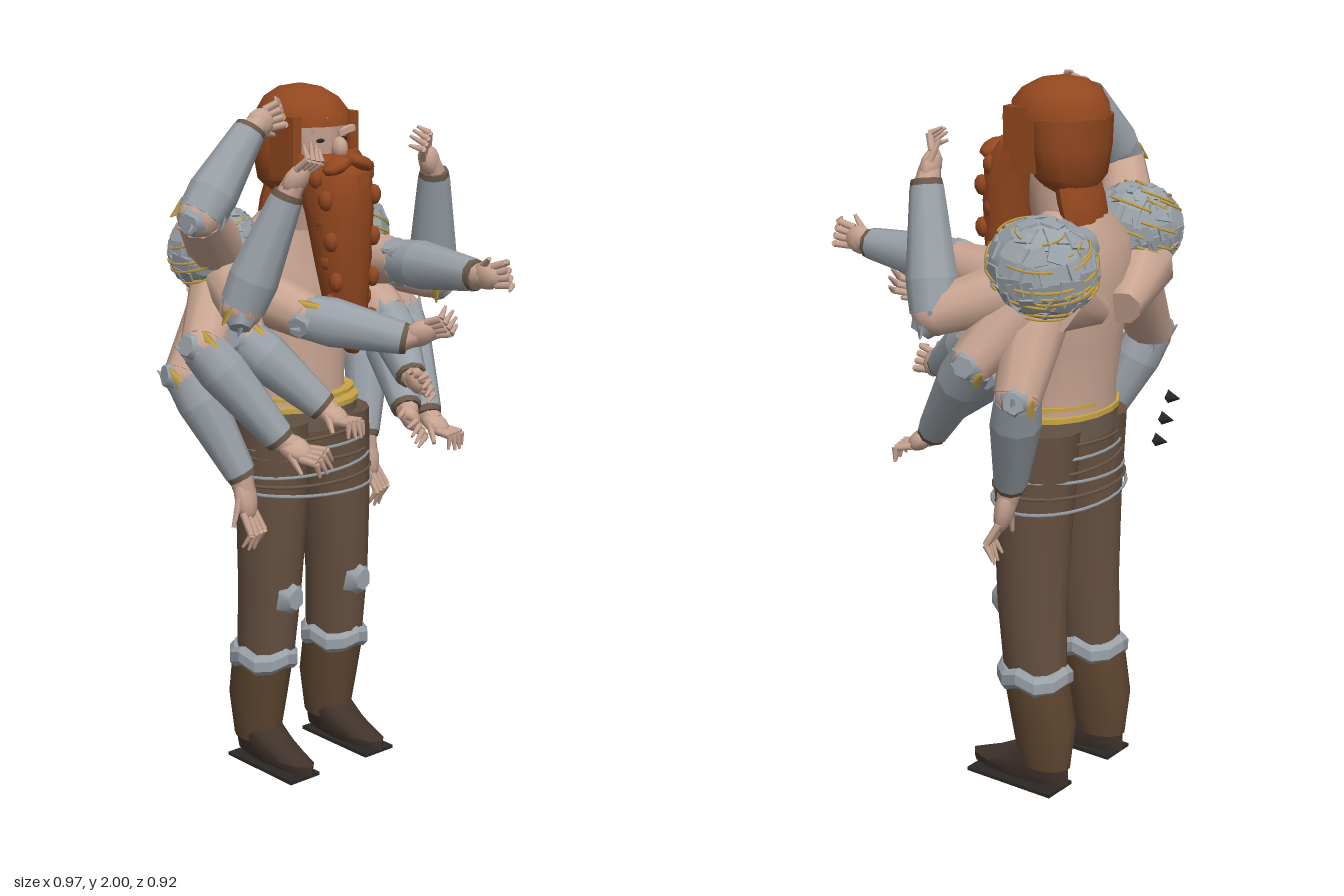
import * as THREE from 'three';
import { toCreasedNormals } from 'three/addons/utils/BufferGeometryUtils.js';

const mat = (color) => new THREE.MeshStandardMaterial({ color, side: THREE.DoubleSide });
const SKIN = mat(0xc9a592), STEEL = mat(0x9aa2a9), HAIR = mat(0x93481f), GOLD = mat(0xc9a544),
  PANTS = mat(0x665040), BOOT = mat(0x5f4630), SHOE = mat(0x40332c), DARK = mat(0x2c2826), BELT = mat(0x6b5b4c);
const V = (x, y, z) => new THREE.Vector3(x, y, z);
const UP = V(0, 1, 0);

let seed = 7;
const rnd = () => (seed = (seed * 16807) % 2147483647) / 2147483647;

function add(parent, name, geo, material, pos, scale) {
  const m = new THREE.Mesh(geo, material);
  m.name = name;
  if (pos) m.position.set(...pos);
  if (scale) m.scale.set(...scale);
  parent.add(m);
  return m;
}
function group(parent, name) {
  const g = new THREE.Group();
  g.name = name;
  parent.add(g);
  return g;
}
// Skin through elliptical sections, bottom to top: [y, centreX, centreZ, radiusX, radiusZ]
function loft(rows, seg = 14, crease = 0.7) {
  const first = rows[0], last = rows[rows.length - 1];
  const all = [[...first.slice(0, 3), 0, 0], ...rows, [...last.slice(0, 3), 0, 0]];
  const pos = [], idx = [];
  all.forEach(([y, cx, cz, rx, rz], i) => {
    for (let j = 0; j < seg; j++) {
      const a = (j / seg) * Math.PI * 2;
      pos.push(cx + rx * Math.cos(a), y, cz + rz * Math.sin(a));
      if (i === 0) continue;
      const k = (j + 1) % seg, lo = (i - 1) * seg, hi = i * seg;
      idx.push(lo + j, hi + j, hi + k, lo + j, hi + k, lo + k);
    }
  });
  const g = new THREE.BufferGeometry();
  g.setAttribute('position', new THREE.Float32BufferAttribute(pos, 3));
  g.setIndex(idx);
  return toCreasedNormals(g, crease);
}
// Tapered round bar between two points
function limb(parent, name, a, b, ra, rb, material, sides = 10) {
  const d = b.clone().sub(a);
  const m = add(parent, name, new THREE.CylinderGeometry(rb, ra, d.length(), sides), material);
  m.position.copy(a).addScaledVector(d, 0.5);
  m.quaternion.setFromUnitVectors(UP, d.normalize());
  return m;
}

function addHand(parent, wrist, tip) {
  const hand = group(parent, 'hand');
  const d = tip.clone().sub(wrist), len = d.length();
  d.normalize();
  const side = d.clone().cross(V(0.3, 0.2, 1)).normalize();
  const palmUp = side.clone().cross(d);
  const at = (u, s, n) => wrist.clone().addScaledVector(d, u * len).addScaledVector(side, s).addScaledVector(palmUp, n);
  const palm = add(hand, 'palm', new THREE.SphereGeometry(1, 10, 7), SKIN, at(0.25, 0, 0).toArray(), [0.04, len * 0.33, 0.028]);
  palm.quaternion.setFromRotationMatrix(new THREE.Matrix4().makeBasis(side, d, palmUp));
  for (let i = 0; i < 4; i++) {
    const s = (i - 1.5) * 0.017, reach = 1 - Math.abs(i - 1.4) * 0.07;
    const knuckle = at(0.74, s * 1.25, 0.02);
    limb(hand, 'finger', at(0.45, s, 0), knuckle, 0.011, 0.01, SKIN, 6);
    limb(hand, 'fingertip', knuckle, at(reach, s * 1.5, -0.012), 0.01, 0.004, SKIN, 6);
  }
  limb(hand, 'thumb', at(0.2, 0.025, 0), at(0.6, 0.055, -0.02), 0.013, 0.006, SKIN, 6);
}

function addArm(parent, name, s, e, w, t) {
  const arm = group(parent, name);
  const shoulder = V(...s), elbow = V(...e), wrist = V(...w), tip = V(...t);
  limb(arm, 'upperArm', shoulder, elbow, 0.09, 0.064, SKIN);
  add(arm, 'elbow', new THREE.SphereGeometry(0.062, 10, 8), SKIN, e);
  const cuff = elbow.clone().lerp(wrist, 0.95), mid = elbow.clone().lerp(wrist, 0.25);
  limb(arm, 'bracer', elbow, mid, 0.064, 0.07, STEEL, 9);
  limb(arm, 'bracer', mid, cuff, 0.07, 0.046, STEEL, 9);
  limb(arm, 'cuffTrim', cuff, wrist, 0.045, 0.042, BELT, 9);
  limb(arm, 'wrist', cuff, wrist.clone().lerp(tip, 0.2), 0.036, 0.03, SKIN, 8);
  // pointed elbow guard, with ragged steel and gold tabs on the bracer rim
  const out = elbow.clone().sub(shoulder).normalize().add(elbow.clone().sub(wrist).normalize()).normalize();
  limb(arm, 'elbowGuard', elbow, elbow.clone().addScaledVector(out, 0.066), 0.066, 0.03, STEEL, 6);
  const along = wrist.clone().sub(elbow).normalize(), across = along.clone().cross(out).normalize();
  for (let i = 0; i < 4; i++) {
    const a = i * 1.57 + rnd();
    const ray = out.clone().multiplyScalar(Math.cos(a)).addScaledVector(across, Math.sin(a));
    const base = elbow.clone().addScaledVector(along, 0.03).addScaledVector(ray, 0.05);
    limb(arm, 'rimTab', base, base.clone().addScaledVector(ray, 0.02).addScaledVector(along, -0.05), 0.022, 0.002, i === 3 ? GOLD : STEEL, 4);
  }
  addHand(arm, wrist, tip);
}

// Dome of close-lying plates, wound with raised gold strands
function addPauldron(parent, name, x, y, z, tilt, radii) {
  const g = group(parent, name);
  g.position.set(x, y, z);
  g.rotation.set(-0.2, 0, tilt);
  g.scale.set(...radii);
  add(g, 'dome', new THREE.SphereGeometry(0.94, 16, 12), STEEL);
  for (let row = 0; row < 6; row++) {
    const lat = 1.2 - row * 0.35, n = Math.max(5, Math.round(13 * Math.cos(lat)));
    for (let i = 0; i < n; i++) {
      const a = ((i + rnd() * 0.7) / n) * Math.PI * 2;
      const p = V(Math.cos(a) * Math.cos(lat), Math.sin(lat), Math.sin(a) * Math.cos(lat)).multiplyScalar(0.94);
      const plate = add(g, 'plate', new THREE.BoxGeometry(0.5, 0.34, 0.05), STEEL, p.toArray());
      plate.lookAt(g.localToWorld(p.clone().multiplyScalar(2)));
      plate.rotateZ((rnd() - 0.5) * 0.8);
    }
  }
  for (let i = 0; i < 34; i++) {
    const strand = add(g, 'goldStrand', new THREE.TorusGeometry(0.985, 0.032, 4, 8, 0.6 + rnd() * 0.7), GOLD);
    const h = (rnd() * 1.7 - 0.75);
    strand.scale.set(Math.sqrt(1 - h * h), Math.sqrt(1 - h * h), 1);
    strand.position.y = h;
    strand.rotation.set(Math.PI / 2 + (rnd() - 0.5) * 0.16, (rnd() - 0.5) * 0.16, rnd() * 6.28);
  }
}

function addLeg(parent, name, s, hipX, kneeX, ankleX) {
  const leg = group(parent, name);
  add(leg, 'trouserLeg', loft([[0.33, (kneeX + ankleX) / 2, -0.215, 0.075, 0.095], [0.55, kneeX, -0.2, 0.083, 0.105],
    [0.8, (kneeX + hipX) / 2, -0.195, 0.095, 0.117], [1.06, hipX, -0.2, 0.105, 0.128]]), PANTS);
  add(leg, 'boot', loft([[0.07, ankleX, -0.25, 0.058, 0.08], [0.2, ankleX, -0.245, 0.074, 0.1], [0.36, ankleX, -0.215, 0.083, 0.1]]), BOOT);
  // scalloped steel cuff
  const cuff = loft([[0.31, ankleX, -0.215, 0.084, 0.1], [0.325, ankleX, -0.215, 0.096, 0.113], [0.355, ankleX, -0.215, 0.096, 0.113], [0.37, ankleX, -0.215, 0.084, 0.1]], 12, 0.3);
  const p = cuff.attributes.position;
  for (let i = 0; i < p.count; i++) p.setY(i, p.getY(i) + 0.012 * Math.cos(4 * Math.atan2(p.getZ(i) + 0.215, p.getX(i) - ankleX)));
  add(leg, 'bootCuff', cuff, STEEL);
  // faceted knee plate
  const knee = add(leg, 'kneePlate', new THREE.CylinderGeometry(0.03, 0.06, 0.045, 6), STEEL, [kneeX, 0.54, -0.1], [0.9, 1, 1.1]);
  knee.rotation.x = Math.PI / 2;
  add(leg, 'shoe', loft([[0.018, ankleX, -0.165, 0.045, 0.165], [0.045, ankleX, -0.165, 0.056, 0.165], [0.075, ankleX, -0.205, 0.056, 0.125],
    [0.12, ankleX, -0.25, 0.058, 0.083]], 12), SHOE);
  add(leg, 'sole', new THREE.BoxGeometry(0.11, 0.01, 0.29), DARK, [ankleX + s * 0.008, 0.005, -0.165]);
}

function addHead(parent) {
  const head = group(parent, 'head'), cx = 0.027;
  add(head, 'face', loft([[1.6, cx, -0.2, 0.07, 0.08], [1.74, cx, -0.18, 0.085, 0.1], [1.84, cx, -0.165, 0.1, 0.11], [1.92, cx, -0.17, 0.1, 0.115]]), SKIN);
  add(head, 'hairCap', loft([[1.895, cx, -0.19, 0.127, 0.14], [1.93, cx, -0.19, 0.123, 0.135], [1.965, cx, -0.195, 0.1, 0.11], [1.99, cx, -0.2, 0.06, 0.068], [2, cx, -0.2, 0.015, 0.015]], 16, 0.9), HAIR);
  add(head, 'backHair', loft([[1.7, cx, -0.23, 0.07, 0.06], [1.74, cx, -0.225, 0.115, 0.09], [1.82, cx, -0.225, 0.13, 0.1], [1.9, cx, -0.225, 0.128, 0.105]]), HAIR);
  add(head, 'napeHair', loft([[1.55, cx, -0.29, 0.05, 0.025], [1.59, cx, -0.285, 0.09, 0.04], [1.68, cx, -0.26, 0.09, 0.05], [1.75, cx, -0.24, 0.08, 0.05]]), HAIR);
  add(head, 'beard', loft([[1.25, 0.09, -0.05, 0.015, 0.02], [1.3, 0.075, -0.05, 0.055, 0.045], [1.5, 0.055, -0.05, 0.085, 0.065], [1.66, 0.045, -0.055, 0.107, 0.08],
    [1.77, 0.04, -0.08, 0.118, 0.1], [1.82, 0.03, -0.115, 0.115, 0.09]], 12), HAIR);
  add(head, 'nose', new THREE.SphereGeometry(0.025, 8, 6), SKIN, [cx + 0.01, 1.835, -0.045], [0.9, 1.3, 1]);
  for (const s of [-1, 1]) {
    add(head, 'sideburn', new THREE.BoxGeometry(0.03, 0.17, 0.1), HAIR, [cx + s * 0.105, 1.84, -0.14]);
    add(head, 'moustache', new THREE.SphereGeometry(1, 8, 6), HAIR, [cx + 0.01 + s * 0.042, 1.795, -0.01], [0.05, 0.022, 0.035]).rotation.z = -s * 0.35;
    add(head, 'eyebrow', new THREE.BoxGeometry(0.06, 0.016, 0.02), SKIN, [cx + s * 0.045, 1.88, -0.062]).rotation.z = s * 0.2;
    add(head, 'eye', new THREE.SphereGeometry(0.012, 8, 6), DARK, [cx + s * 0.042, 1.858, -0.066], [1.3, 0.5, 0.6]);
    for (let i = 0; i < 8; i++) {
      const y = 1.76 - i * 0.058, r = 0.112 - i * 0.0065;
      add(head, 'beardCurl', new THREE.SphereGeometry(0.024, 7, 5), HAIR, [0.04 + i * 0.004 + s * r * 0.85, y, -0.04 + (i % 2) * 0.03], [0.8, 1.2, 1]);
    }
  }
}

export function createModel() {
  const model = new THREE.Group();
  model.name = 'manyArmedWarrior';

  add(model, 'torso', loft([[1.04, 0.02, -0.215, 0.17, 0.12], [1.15, 0.02, -0.22, 0.16, 0.115], [1.3, 0.02, -0.23, 0.18, 0.12],
    [1.46, 0.02, -0.245, 0.22, 0.12], [1.56, 0.02, -0.25, 0.2, 0.1], [1.65, 0.02, -0.23, 0.09, 0.08]], 18), SKIN);
  limb(model, 'shoulderBlade', V(-0.2, 1.46, -0.3), V(0, 1.39, -0.38), 0.1, 0.05, SKIN, 8);
  limb(model, 'shoulderBlade', V(0.24, 1.46, -0.32), V(0.06, 1.39, -0.34), 0.1, 0.04, SKIN, 8);
  limb(model, 'collarPlate', V(0.26, 1.56, -0.3), V(0.08, 1.57, -0.31), 0.09, 0.05, STEEL, 8);
  addHead(model);

  // hips, belts and loose straps
  const waist = group(model, 'waist');
  const band = (name, y, h, rx, rz, m) => add(waist, name, loft([[y, 0.025, -0.205, rx, rz], [y + h, 0.025, -0.205, rx, rz]], 18), m);
  band('hips', 0.98, 0.08, 0.195, 0.13, PANTS);
  band('belt', 1.03, 0.06, 0.185, 0.135, BELT);
  band('beltTrim', 1.09, 0.014, 0.19, 0.14, GOLD);
  band('beltTrim', 1.12, 0.01, 0.175, 0.13, GOLD);
  for (let i = 0; i < 6; i++) {
    const strap = add(waist, 'strap', new THREE.TorusGeometry(1, 0.025, 4, 28), i % 2 ? BELT : STEEL,
      [0.025, 0.85 + i * 0.034, -0.195], [0.225 - i * 0.004, 0.165 - i * 0.004, 0.2]);
    strap.rotation.set(Math.PI / 2, (i % 3 - 1) * 0.05, 0);
  }
  for (let i = 0; i < 3; i++) {
    const spike = add(waist, 'spike', new THREE.ConeGeometry(0.02, 0.04, 4), DARK, [-0.19 + i * 0.03, 1.1 - i * 0.055, -0.43]);
    spike.rotation.x = -Math.PI / 2;
  }

  addLeg(model, 'rightLeg', -1, -0.085, -0.1, -0.112);
  addLeg(model, 'leftLeg', 1, 0.135, 0.16, 0.165);
  addPauldron(model, 'rightPauldron', -0.23, 1.56, -0.27, 0.35, [0.135, 0.12, 0.13]);
  addPauldron(model, 'leftPauldron', 0.265, 1.545, -0.305, -0.35, [0.14, 0.13, 0.155]);

  // name, shoulder, elbow, wrist, fingertips
  const R = (y) => [-0.2, y, -0.27], L = (y) => [0.25, y, -0.28];
  const arms = [
    ['rightArmOverhead', R(1.52), [-0.41, 1.69, -0.1], [-0.23, 1.91, -0.1], [-0.11, 1.95, -0.1]],
    ['rightArmRaised', R(1.5), [-0.31, 1.44, -0.05], [-0.22, 1.75, 0.04], [-0.17, 1.88, 0.1]],
    ['rightArmAcross', R(1.47), [-0.12, 1.39, 0], [0.05, 1.34, 0.22], [0.14, 1.41, 0.32]],
    ['rightArmInner', R(1.45), [-0.28, 1.34, -0.08], [-0.13, 1.15, 0.08], [-0.1, 1.09, 0.2]],
    ['rightArmOuter', R(1.48), [-0.4, 1.33, -0.11], [-0.25, 1.07, 0.04], [-0.17, 1.0, 0.16]],
    ['rightArmHanging', R(1.42), [-0.36, 1.22, -0.24], [-0.26, 0.93, -0.12], [-0.25, 0.72, -0.08]],
    ['leftArmRaised', L(1.5), [0.42, 1.42, -0.07], [0.345, 1.75, 0.01], [0.25, 1.87, 0.03]],
    ['leftArmForward', L(1.48), [0.23, 1.5, 0], [0.215, 1.51, 0.32], [0.21, 1.53, 0.46]],
    ['leftArmInner', L(1.45), [0.27, 1.32, -0.1], [0.18, 1.19, 0.1], [0.13, 1.18, 0.22]],
    ['leftArmLower', L(1.42), [0.33, 1.27, -0.19], [0.21, 1.08, 0.05], [0.14, 1.03, 0.17]],
    ['leftArmOuter', L(1.48), [0.4, 1.3, -0.18], [0.31, 1.04, 0.03], [0.34, 0.96, 0.14]],
    ['leftArmHanging', L(1.42), [0.38, 1.22, -0.31], [0.29, 0.93, -0.22], [0.32, 0.71, -0.18]],
  ];
  for (const a of arms) addArm(model, ...a);
  return model;
}
